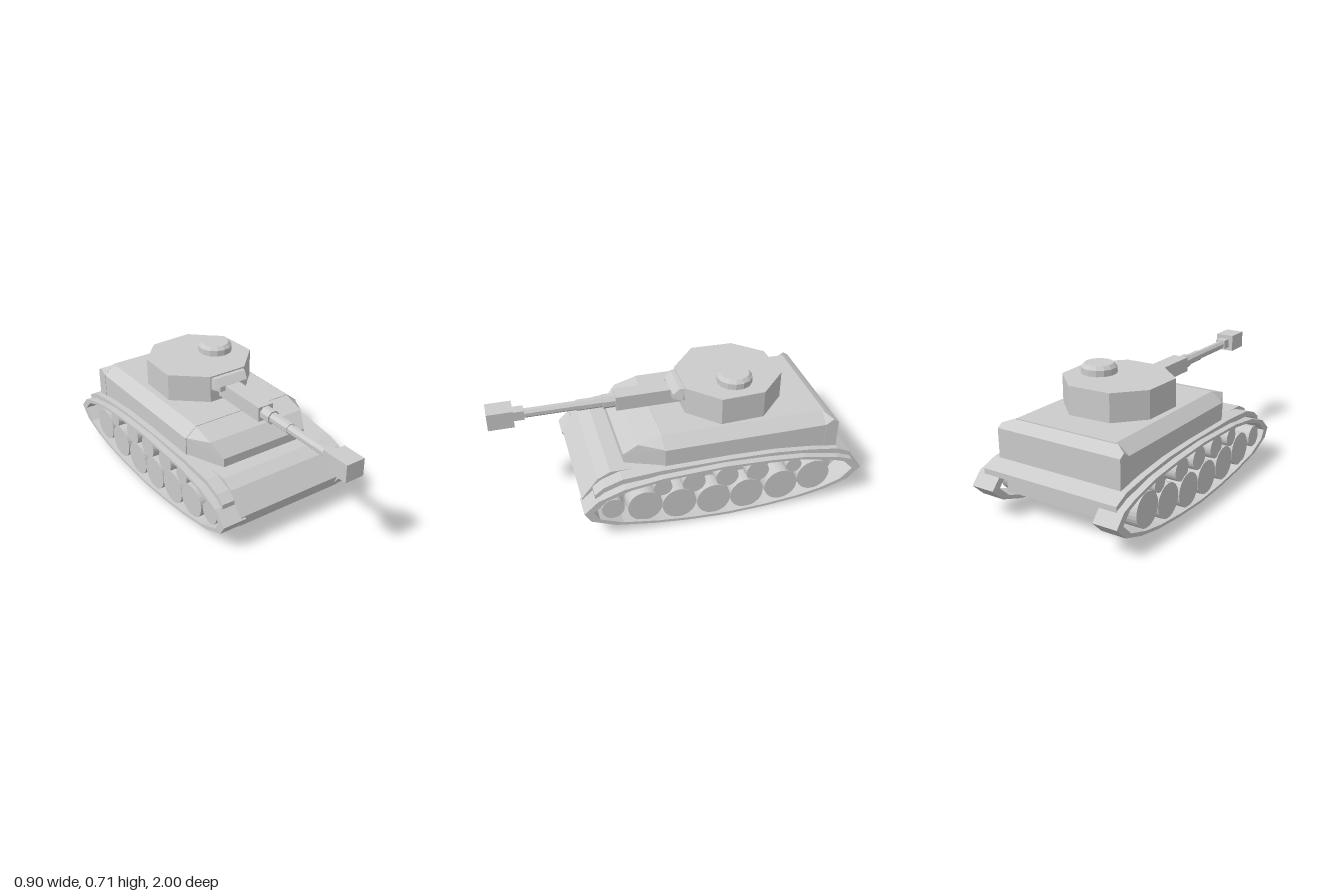
import * as THREE from 'three';
import { ConvexGeometry } from 'three/addons/geometries/ConvexGeometry.js';

const material = new THREE.MeshStandardMaterial({ color: 0xcccccc, flatShading: true });

function add(parent, name, geometry) {
  const mesh = new THREE.Mesh(geometry, material);
  mesh.name = name;
  parent.add(mesh);
  return mesh;
}

// Extrudes a clockwise [z, y] side profile across x; a hole must run counter-clockwise
function sideExtrude(profile, width, x = 0, hole = null) {
  const toPoints = (list) => list.map(([z, y]) => new THREE.Vector2(z, y));
  const shape = new THREE.Shape(toPoints(profile));
  if (hole) shape.holes.push(new THREE.Path(toPoints(hole)));
  return new THREE.ExtrudeGeometry(shape, { depth: width, bevelEnabled: false })
    .translate(0, 0, -width / 2).rotateY(-Math.PI / 2).translate(x, 0, 0);
}

// Convex solid from [x, y, z] corners that are mirrored across x = 0
function mirroredHull(corners) {
  const points = [];
  for (const [x, y, z] of corners) {
    points.push(new THREE.Vector3(x, y, z), new THREE.Vector3(-x, y, z));
  }
  return new ConvexGeometry(points);
}

function box(w, h, d, x, y, z) {
  return new THREE.BoxGeometry(w, h, d).translate(x, y, z);
}

function createHull() {
  const hull = new THREE.Group();
  hull.name = 'hull';

  add(hull, 'lowerHull', sideExtrude([
    [0.572, 0.19], [0.55, 0.12], [-0.865, 0.12], [-0.865, 0.28], [-0.3, 0.34], [0.41, 0.34], [0.48, 0.305],
  ], 0.67));

  // Thin arched plate over both tracks, bent down at front and rear
  const arch = [
    [0.51, 0.262], [0.46, 0.3], [0.36, 0.335], [0.15, 0.35], [-0.25, 0.352],
    [-0.5, 0.345], [-0.7, 0.325], [-0.865, 0.3], [-0.947, 0.262],
  ];
  const under = arch.map(([z, y]) => [z, y - 0.03]);
  add(hull, 'fenders', sideExtrude([...under, ...arch.reverse()], 0.82));

  // Upper body with bevelled sides, closed by a full-width rear ridge
  add(hull, 'superstructure', mirroredHull([
    [0.375, 0.29, -0.8], [0.375, 0.45, -0.8], [0.375, 0.29, 0.12], [0.375, 0.45, 0.12],
    [0.307, 0.505, -0.8], [0.307, 0.505, 0.12],
  ]));
  add(hull, 'rearRidge', mirroredHull([
    [0.377, 0.29, -0.865], [0.377, 0.46, -0.865], [0.377, 0.48, -0.835],
    [0.307, 0.505, -0.79], [0.377, 0.45, -0.79], [0.377, 0.29, -0.79],
  ]));
  add(hull, 'glacis', mirroredHull([
    [0.375, 0.3, 0.11], [0.375, 0.45, 0.11], [0.307, 0.505, 0.11],
    [0.305, 0.465, 0.25], [0.27, 0.39, 0.325], [0.27, 0.3, 0.325],
  ]));
  return hull;
}

function createTrack(side) {
  const track = new THREE.Group();
  track.name = side > 0 ? 'leftTrack' : 'rightTrack';

  const outer = [
    [0.578, 0.175], [0.545, 0.12], [0.41, 0.065], [0.2, 0.03], [0, 0.01], [-0.22, 0],
    [-0.45, 0.01], [-0.65, 0.03], [-0.8, 0.06], [-0.93, 0.105], [-1, 0.175], [-0.94, 0.24],
    [-0.85, 0.272], [-0.66, 0.31], [-0.45, 0.328], [-0.2, 0.338], [0.15, 0.325],
    [0.36, 0.295], [0.5, 0.245],
  ];
  const inner = outer.map(([z, y]) => [-0.21 + (z + 0.21) * 0.935, 0.168 + (y - 0.168) * 0.91]).reverse();
  add(track, 'trackBand', sideExtrude(outer, 0.138, side * 0.379, inner));

  // Wheel width, then [z, y, radius] of each wheel
  const wheels = {
    idler: [0.11, [[0.42, 0.165, 0.062]]],
    roadWheel: [0.11, [
      [0.245, 0.145, 0.095], [0.055, 0.125, 0.095], [-0.14, 0.112, 0.095],
      [-0.33, 0.112, 0.095], [-0.53, 0.13, 0.095], [-0.72, 0.16, 0.095],
    ]],
    returnRoller: [0.1, [
      [0.145, 0.247, 0.051], [-0.028, 0.247, 0.064], [-0.215, 0.247, 0.064],
      [-0.39, 0.247, 0.064], [-0.6, 0.247, 0.045],
    ]],
  };
  for (const [name, [width, list]] of Object.entries(wheels)) {
    for (const [z, y, r] of list) {
      add(track, name, new THREE.CylinderGeometry(r, r, width, 28)
        .rotateZ(Math.PI / 2).translate(side * 0.375, y, z));
    }
  }
  return track;
}

function createTurret() {
  const turret = new THREE.Group();
  turret.name = 'turret';

  // Eight-sided body, [x, z] plan
  const plan = [
    [-0.13, -0.603], [0.115, -0.615], [0.28, -0.458], [0.293, -0.215],
    [0.135, -0.055], [-0.095, -0.055], [-0.275, -0.21], [-0.268, -0.45],
  ];
  add(turret, 'turretBody', new ConvexGeometry(plan.flatMap(([x, z]) => [
    new THREE.Vector3(x, 0.49, z), new THREE.Vector3(x, 0.661, z),
  ])));

  const cupolaProfile = [[0, 0.65], [0.098, 0.65], [0.098, 0.695], [0.08, 0.715], [0, 0.715]]
    .map(([r, y]) => new THREE.Vector2(r, y));
  add(turret, 'cupola', new THREE.LatheGeometry(cupolaProfile, 14)).position.set(0.127, 0, -0.335);

  add(turret, 'mantlet', mirroredHull([
    [0.11, 0.585, -0.07], [0.11, 0.653, -0.07], [0.11, 0.585, -0.04], [0.1, 0.653, -0.03],
    [0.09, 0.585, 0.005], [0.09, 0.615, 0.005],
  ])).position.x = 0.02;
  return turret;
}

function createGun() {
  const gun = new THREE.Group();
  gun.name = 'gun';
  add(gun, 'gunSleeve', box(0.095, 0.084, 0.37, 0, 0, 0.125));
  // Stepped barrel: [name, radius, start z, end z]
  const stages = [
    ['barrelCollar', 0.04, 0.31, 0.378],
    ['barrelRear', 0.031, 0.37, 0.52],
    ['barrelFront', 0.026, 0.51, 0.81],
  ];
  for (const [name, r, z0, z1] of stages) {
    add(gun, name, new THREE.CylinderGeometry(r, r, z1 - z0, 8)
      .rotateX(Math.PI / 2).rotateZ(Math.PI / 8).translate(0, 0, (z0 + z1) / 2));
  }
  add(gun, 'muzzleNeck', box(0.06, 0.054, 0.06, 0, 0.004, 0.832));
  add(gun, 'muzzleBrake', box(0.112, 0.098, 0.14, 0, 0.005, 0.93));
  gun.position.set(0.01, 0.572, 0);
  return gun;
}

export function createModel() {
  const model = new THREE.Group();
  model.name = 'tank';
  model.add(createHull(), createTrack(1), createTrack(-1), createTurret(), createGun());
  return model;
}
